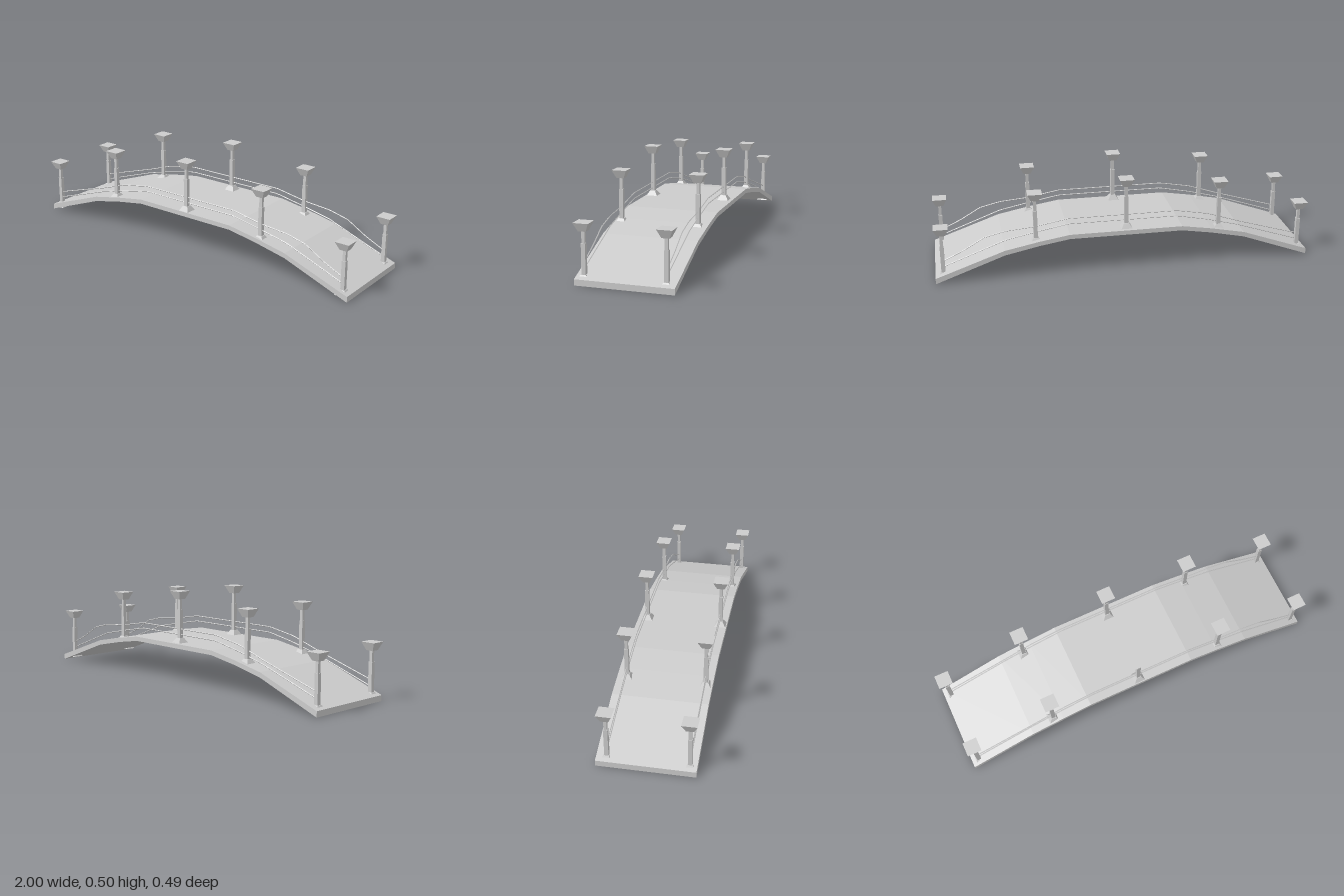
import * as THREE from 'three';

const material = new THREE.MeshStandardMaterial({ color: 0xcccccc, flatShading: true });

function addMesh(parent, name, geometry) {
  const mesh = new THREE.Mesh(geometry, material);
  mesh.name = name;
  parent.add(mesh);
  return mesh;
}

// Square tapered block given by its full widths and its lower and upper heights
function frustum(bottomWidth, topWidth, y0, y1) {
  const g = new THREE.CylinderGeometry(topWidth * Math.SQRT1_2, bottomWidth * Math.SQRT1_2, y1 - y0, 4);
  return g.rotateY(Math.PI / 4).translate(0, (y0 + y1) / 2, 0);
}

// Thin square rail swept along a polyline in x and y
function railGeometry(points) {
  const path = new THREE.CurvePath();
  const v = points.map(([x, y]) => new THREE.Vector3(x, y, 0));
  for (let i = 1; i < v.length; i++) path.add(new THREE.LineCurve3(v[i - 1], v[i]));
  return new THREE.TubeGeometry(path, 80, 0.003, 4, false);
}

// Lamp post measured downwards from its cap
function createPost(top) {
  const post = new THREE.Group();
  post.name = 'post';
  addMesh(post, 'postBase', frustum(0.062, 0.028, top - 0.277, top - 0.25));
  addMesh(post, 'lowerShaft', frustum(0.021, 0.021, top - 0.25, top - 0.1));
  addMesh(post, 'upperShaft', frustum(0.016, 0.016, top - 0.1, top - 0.042));
  addMesh(post, 'postCap', frustum(0.039, 0.076, top - 0.042, top));
  return post;
}

export function createModel() {
  const bridge = new THREE.Group();
  bridge.name = 'footbridge';

  // Arched deck: upper edge, then lower edge
  const upper = [[-1, 0.03], [-0.64, 0.158], [-0.46, 0.194], [-0.3, 0.22],
    [0.3, 0.22], [0.46, 0.194], [0.64, 0.158], [1, 0.03]];
  const lower = [[1, 0], [0.64, 0.132], [0.46, 0.17], [0.3, 0.196],
    [-0.3, 0.196], [-0.46, 0.17], [-0.64, 0.132], [-1, 0]];
  const profile = new THREE.Shape([...upper, ...lower].map(([x, y]) => new THREE.Vector2(x, y)));
  const deck = new THREE.ExtrudeGeometry(profile, { depth: 0.488, bevelEnabled: false });
  addMesh(bridge, 'deck', deck.translate(0, 0, -0.244));

  // Posts and paired rails along both sides
  const posts = [[-0.96, 0.295], [-0.508, 0.45], [-0.005, 0.495], [0.474, 0.45], [0.958, 0.295]];
  const upperRail = railGeometry([[-0.96, 0.105], [-0.62, 0.206], [-0.45, 0.262], [-0.28, 0.292],
    [0.3, 0.292], [0.48, 0.26], [0.63, 0.247], [0.74, 0.22], [0.85, 0.155], [0.957, 0.105]]);
  const lowerRail = railGeometry([[-0.96, 0.072], [-0.62, 0.184], [-0.45, 0.228], [-0.28, 0.262],
    [0.3, 0.262], [0.46, 0.232], [0.63, 0.197], [0.957, 0.073]]);
  for (const z of [0.209, -0.194]) {
    const side = new THREE.Group();
    side.name = z > 0 ? 'frontRailing' : 'backRailing';
    side.position.z = z;
    for (const [x, top] of posts) {
      const post = createPost(top);
      post.position.x = x;
      side.add(post);
    }
    addMesh(side, 'upperRail', upperRail);
    addMesh(side, 'lowerRail', lowerRail);
    bridge.add(side);
  }
  return bridge;
}
